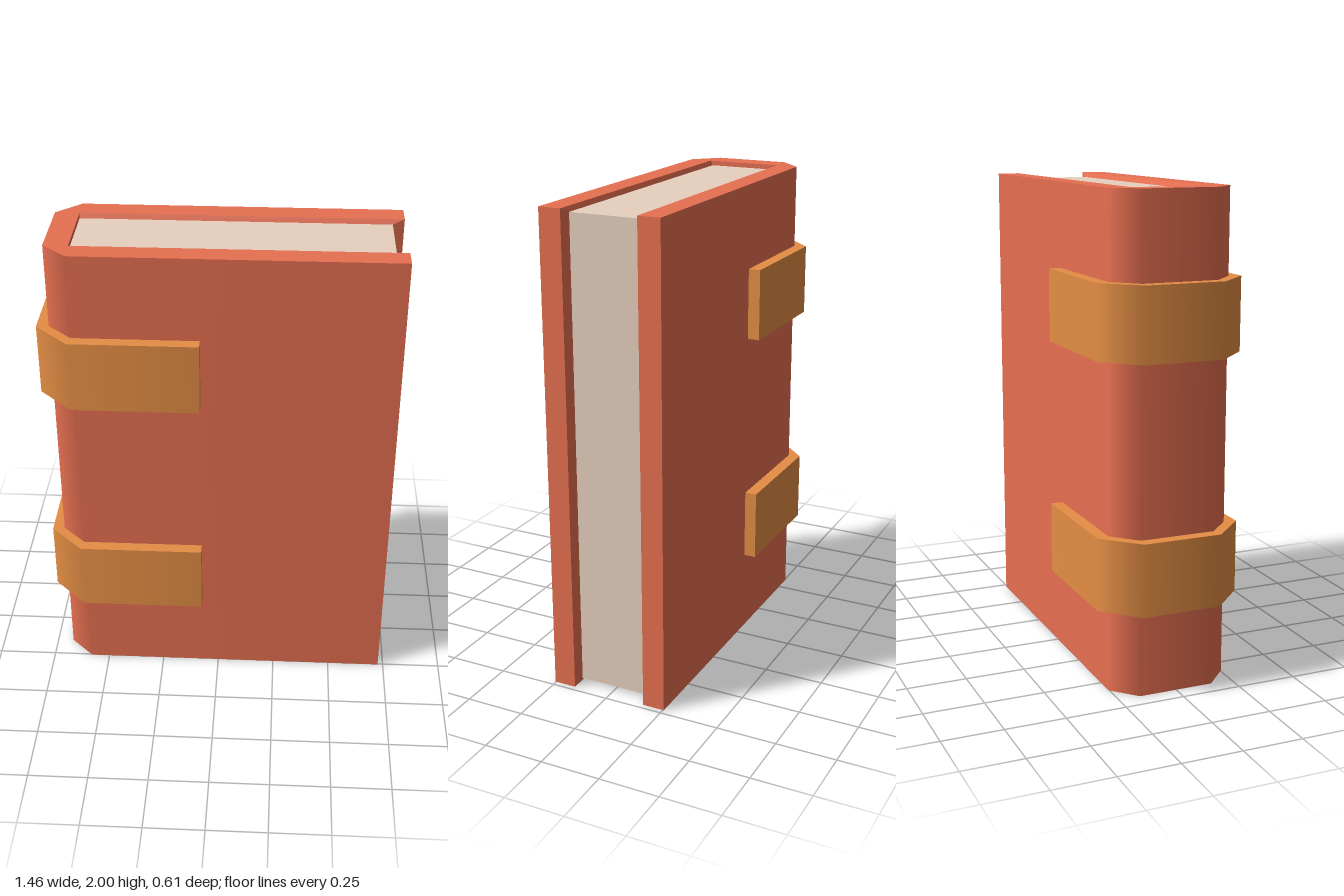
import * as THREE from 'three';

const leather = new THREE.MeshStandardMaterial({ color: 0xe76f51, side: THREE.DoubleSide });
leather.name = 'redLeather';
const paper = new THREE.MeshStandardMaterial({ color: 0xe8d2bf });
paper.name = 'paper';
const strapTan = new THREE.MeshStandardMaterial({ color: 0xe48e44 });
strapTan.name = 'tanStrap';

// U-shaped band, open towards +x, with bevelled outer corners; stands from y = 0 to height
function bandGeometry({ end, bevelX, spineX, spineZ, outerZ, innerX, innerZ, height }) {
  const shape = new THREE.Shape([
    [end, outerZ], [bevelX, outerZ], [spineX, spineZ],
    [spineX, -spineZ], [bevelX, -outerZ], [end, -outerZ],
    [end, -innerZ], [innerX, -innerZ], [innerX, innerZ], [end, innerZ],
  ].map(([x, z]) => new THREE.Vector2(x, z)));
  const geo = new THREE.ExtrudeGeometry(shape, { depth: height, bevelEnabled: false });
  geo.rotateX(-Math.PI / 2);

  // smooth the outer skin: area-weighted normals along the bevel's two edges
  const nx = -(outerZ - spineZ), nz = bevelX - spineX;
  const sideEdge = new THREE.Vector2(nx, nz + end - bevelX).normalize();
  const spineEdge = new THREE.Vector2(nx - 2 * spineZ, nz).normalize();
  const p = geo.attributes.position, n = geo.attributes.normal;
  const near = (a, b) => Math.abs(a - b) < 1e-4;
  for (let i = 0; i < p.count; i++) {
    if (Math.abs(n.getY(i)) > 0.5) continue;
    const s = Math.sign(p.getZ(i));
    if (near(p.getX(i), bevelX) && near(Math.abs(p.getZ(i)), outerZ)) n.setXYZ(i, sideEdge.x, 0, s * sideEdge.y);
    else if (near(p.getX(i), spineX)) n.setXYZ(i, spineEdge.x, 0, s * spineEdge.y);
  }
  return geo;
}

// Thin sloping rim from the cover edges in to the page block
function rimGeometry() {
  const outer = [[-0.58, 0], [0.727, 0], [0.727, 2], [-0.58, 2]];
  const inner = [[-0.58, 0.02], [0.68, 0.02], [0.68, 1.98], [-0.58, 1.98]];
  const verts = [];
  const quad = (a, b, c, d) => verts.push(...a, ...b, ...c, ...a, ...c, ...d);
  const o = (i, s) => [...outer[i], s * 0.16];
  const n = (i, s) => [...inner[i], s * 0.15];
  for (const s of [1, -1]) {
    for (let i = 0; i < 3; i++) quad(o(i, s), o(i + 1, s), n(i + 1, s), n(i, s));
  }
  const geo = new THREE.BufferGeometry();
  geo.setAttribute('position', new THREE.Float32BufferAttribute(verts, 3));
  geo.computeVertexNormals();
  return geo;
}

export function createModel() {
  const book = new THREE.Group();
  book.name = 'book';
  const add = (name, geo, mat, y = 0) => {
    const mesh = new THREE.Mesh(geo, mat);
    mesh.name = name;
    mesh.position.y = y;
    book.add(mesh);
  };

  // cover boards and spine
  add('cover', bandGeometry({
    end: 0.727, bevelX: -0.58, spineX: -0.68, spineZ: 0.158, outerZ: 0.254,
    innerX: -0.58, innerZ: 0.16, height: 2,
  }), leather);
  add('coverRim', rimGeometry(), leather);

  // page block
  const pages = new THREE.BoxGeometry(1.26, 1.96, 0.3);
  pages.translate(0.05, 1, 0);
  add('pages', pages, paper);

  // two straps wrapped round the spine
  const strap = bandGeometry({
    end: -0.07, bevelX: -0.59, spineX: -0.73, spineZ: 0.165, outerZ: 0.305,
    innerX: -0.62, innerZ: 0.2, height: 0.3,
  });
  add('lowerStrap', strap, strapTan, 0.35);
  add('upperStrap', strap, strapTan, 1.35);

  return book;
}
